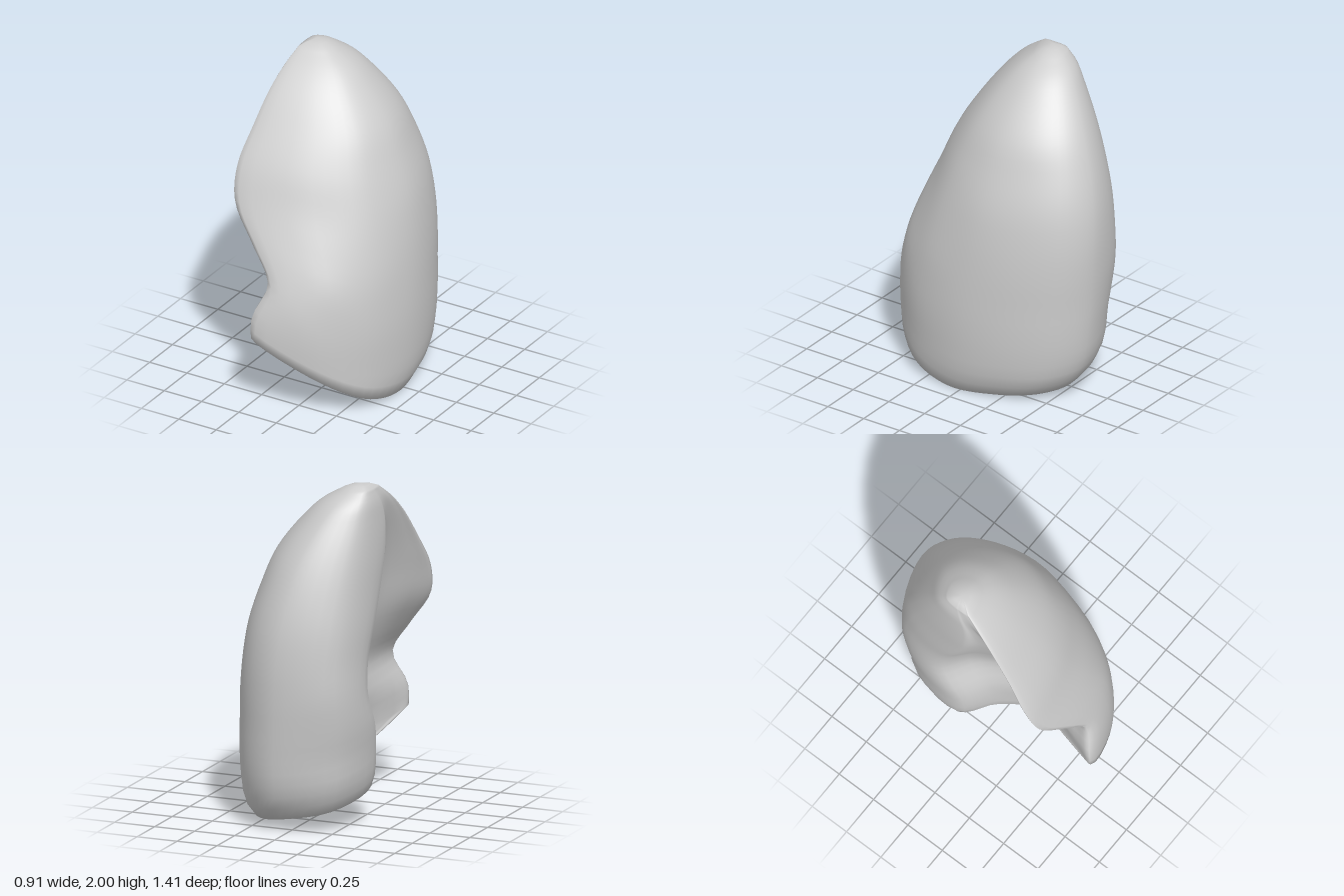
import * as THREE from 'three';
import { mergeVertices } from 'three/addons/utils/BufferGeometryUtils.js';

// Profile by height: y, front edge x, front edge z, outer x, back z, inner ridge x, inner ridge z, hollow x
const ROWS = [
  [0.00, -0.20, 0.66, 0.40, -0.47, -0.26, -0.17, -0.08],
  [0.10, -0.20, 0.68, 0.435, -0.585, -0.29, -0.16, -0.08],
  [0.25, -0.20, 0.69, 0.45, -0.655, -0.355, -0.15, -0.08],
  [0.45, -0.20, 0.70, 0.455, -0.68, -0.37, -0.15, -0.08],
  [0.60, -0.20, 0.69, 0.45, -0.69, -0.385, -0.20, -0.10],
  [0.80, -0.135, 0.62, 0.435, -0.70, -0.38, -0.29, -0.08],
  [1.00, -0.27, 0.57, 0.41, -0.70, -0.375, -0.27, -0.13],
  [1.20, -0.42, 0.51, 0.37, -0.68, -0.385, -0.20, -0.19],
  [1.40, -0.455, 0.43, 0.30, -0.63, -0.39, -0.13, -0.25],
  [1.60, -0.43, 0.30, 0.21, -0.55, -0.395, -0.08, -0.31],
  [1.80, -0.40, 0.14, 0.05, -0.43, -0.39, -0.08, -0.36],
  [1.90, -0.375, 0.03, -0.06, -0.35, -0.38, -0.12, -0.37],
  [1.97, -0.35, -0.07, -0.18, -0.26, -0.355, -0.16, -0.355],
];
const TOP = 1.97;
// Height of the lower rim at each of the 12 points around the outline
const RIM = [0.47, 0.26, 0.075, 0, 0.01, 0.03, 0.06, 0.12, 0.21, 0.30, 0.38, 0.44];
const AROUND = 60, LEVELS = 36, BASE_RINGS = 10;

const profile = new THREE.CubicInterpolant(
  ROWS.map(r => r[0]), ROWS.flatMap(r => r.slice(1)), 7, new Float32Array(7));
const mix = THREE.MathUtils.lerp;

// Outline point i (front edge, outer side, back, hollow inner side) at height y
function outlinePoint(i, y) {
  const [ax, az, outer, back, inner, innerZ, hollow] = profile.evaluate(y);
  const midZ = (az + back) / 2, midX = (outer + inner) / 2;
  let x, z;
  if (i <= 3) {
    const q = i * Math.PI / 6;
    x = mix(ax, outer, Math.sin(q));
    z = mix(midZ, az, Math.cos(q));
  } else if (i <= 6) {
    const q = (i - 3) * Math.PI / 6;
    x = mix(midX, outer, Math.cos(q));
    z = mix(midZ, back, Math.sin(q));
  } else {
    [x, z] = [
      [mix(midX, inner, 0.82), mix(back, innerZ, 0.27)],
      [inner, innerZ],
      [mix(inner, hollow, 0.62), mix(innerZ, az, 0.2)],
      [hollow, mix(innerZ, az, 0.5)],
      [mix(hollow, ax, 0.65), mix(innerZ, az, 0.85)],
    ][i - 7];
  }
  return new THREE.Vector3(x, y, z);
}

// Closed smooth section at level t, from the rim (0) to the top (1)
function section(t) {
  const points = RIM.map((rim, i) => outlinePoint(i, mix(rim, TOP, t)));
  const curve = new THREE.CatmullRomCurve3(points, true, 'centripetal');
  return Array.from({ length: AROUND }, (_, j) => curve.getPoint(j / AROUND));
}

// Ring drawn a share s of the way to a pole, rounding over in height
function towardPole(ring, pole, s) {
  return ring.map(p => {
    const q = p.clone().lerp(pole, s);
    q.y = mix(p.y, pole.y, Math.sin(s * Math.PI / 2));
    return q;
  });
}

// Skin a list of closed rings
function loft(rings) {
  const index = [];
  for (let r = 0; r < rings.length - 1; r++) {
    for (let j = 0; j < AROUND; j++) {
      const a = r * AROUND + j, b = r * AROUND + (j + 1) % AROUND;
      const c = b + AROUND, d = a + AROUND;
      index.push(a, b, c, a, c, d);
    }
  }
  const geometry = new THREE.BufferGeometry().setFromPoints(rings.flat());
  geometry.setIndex(index);
  const merged = mergeVertices(geometry, 1e-5);
  merged.computeVertexNormals();
  return merged;
}

export function createModel() {
  const group = new THREE.Group();
  group.name = 'lung';
  const rings = [];

  // Underside, domed gently upward inside the rim
  const rim = section(0);
  const centre = new THREE.Vector3(0.03, 0.24, 0.02);
  for (let k = BASE_RINGS; k > 0; k--) rings.push(towardPole(rim, centre, k / BASE_RINGS));

  // Walls with the notched front edge and hollow inner side
  for (let k = 0; k <= LEVELS; k++) rings.push(section(1 - Math.pow(1 - k / LEVELS, 1.4)));

  // Rounded apex
  const apex = new THREE.Vector3(-0.285, 2, -0.17);
  const last = rings[rings.length - 1];
  for (const s of [0.4, 1]) rings.push(towardPole(last, apex, s));

  const lobe = new THREE.Mesh(
    loft(rings), new THREE.MeshStandardMaterial({ color: 0xcccccc, side: THREE.DoubleSide }));
  lobe.name = 'lobe';
  group.add(lobe);
  return group;
}
